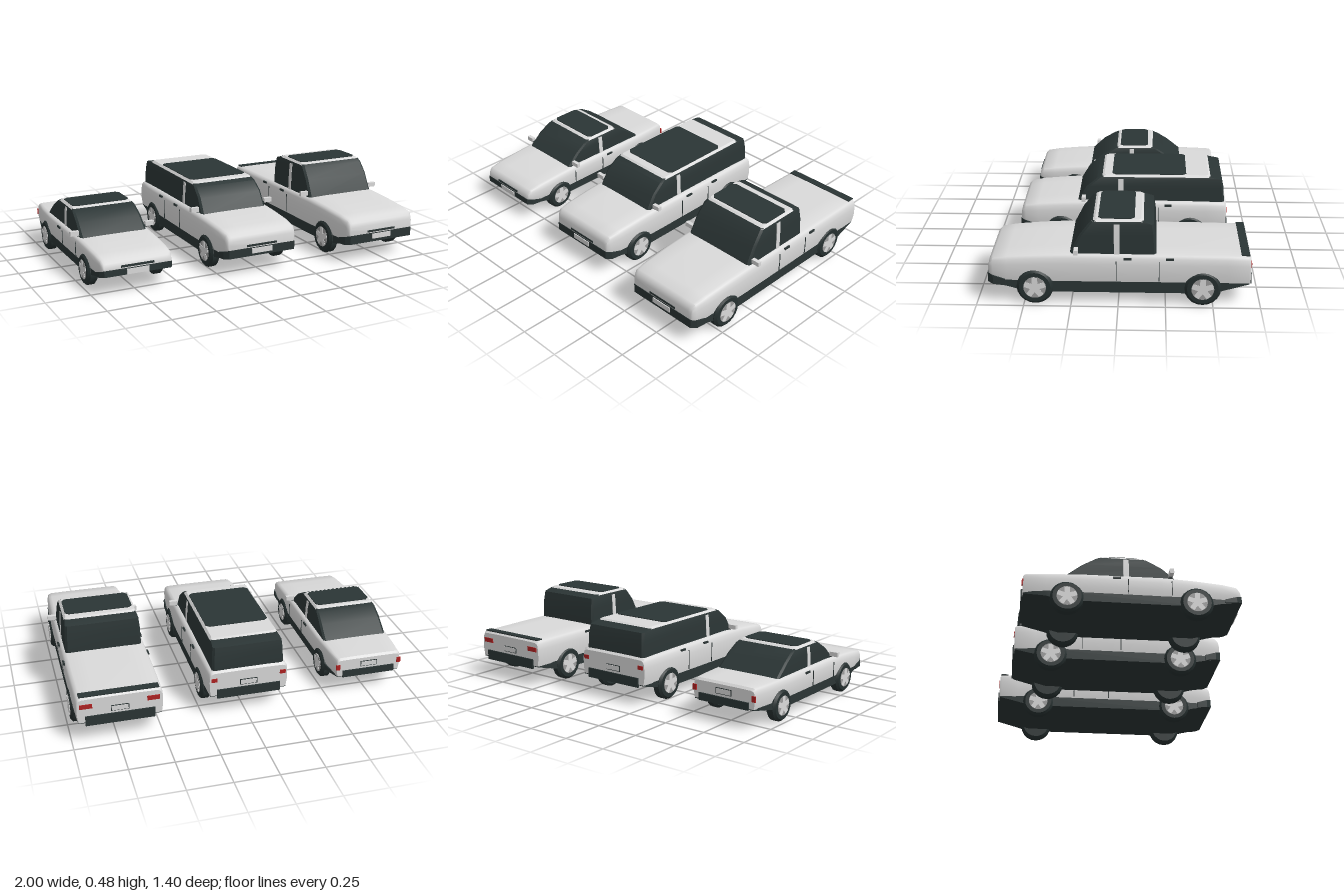
import * as THREE from 'three';
import { toCreasedNormals } from 'three/addons/utils/BufferGeometryUtils.js';

const mat = (name, color) => {
  const m = new THREE.MeshStandardMaterial({ color });
  m.name = name;
  return m;
};

// Skin a stack of rings (counter-clockwise about the stacking direction) and cap both ends
function loft(rings, crease = 0.6) {
  const p = [], n = rings[0].length;
  const tri = (a, b, c) => p.push(...a, ...b, ...c);
  for (let r = 0; r + 1 < rings.length; r++) {
    const a = rings[r], b = rings[r + 1];
    for (let i = 0; i < n; i++) {
      const j = (i + 1) % n;
      tri(a[i], a[j], b[j]);
      tri(a[i], b[j], b[i]);
    }
  }
  const s = rings[0], e = rings[rings.length - 1];
  for (let i = 1; i + 1 < n; i++) {
    tri(s[0], s[i + 1], s[i]);
    tri(e[0], e[i], e[i + 1]);
  }
  const g = new THREE.BufferGeometry();
  g.setAttribute('position', new THREE.Float32BufferAttribute(p, 3));
  return toCreasedNormals(g, crease);
}

// Upright sections at z: rounded for the body, square for the trim
function bodyRing([z, w, y0, y1]) {
  const half = [[0.97, 0], [1, 0.3], [1, 0.65], [0.985, 0.85], [0.95, 0.95], [0.88, 0.99], [0.5, 1]];
  const right = half.map(([kx, ky]) => [w * kx, y0 + (y1 - y0) * ky, z]);
  return [...right, ...right.map(([x, y]) => [-x, y, z]).reverse()];
}
const boxRing = ([z, w, y0, y1]) => [[w, y0, z], [w, y1, z], [-w, y1, z], [-w, y0, z]];

// Level cabin ring with small chamfered corners
function cabinRing([y, w, zr, zf, c = 0.012]) {
  const right = [[w - c, y, zf], [w, y, zf - c], [w, y, zr + c], [w - c, y, zr]];
  return [...right, ...right.map(([x, , z]) => [-x, y, z]).reverse()];
}

// Sizes that differ; back and front give the cabin ends from waist to roof
const COUPE = {
  name: 'coupe', x: -0.755, w: 0.22, zf: 0.57, zr: -0.58, top: 0.235, tailTaper: 0.9, wheels: [0.33, -0.35],
  cabinW: 0.195, roofY: 0.352, back: [-0.365, -0.273, -0.205, -0.18], front: [0.235, 0.155, 0.085, 0.06],
  panel: [-0.145, 0.035], pillar: -0.04, seams: [-0.03, 0.2], handles: [-0.09], lamp: [0.188, 0.024, 0.032],
};
const WAGON = {
  name: 'wagon', x: -0.017, w: 0.238, zf: 0.6, zr: -0.612, top: 0.285, tailTaper: 0.97, wheels: [0.36, -0.4],
  cabinW: 0.208, roofY: 0.427, back: [-0.6, -0.595, -0.585, -0.52], front: [0.265, 0.212, 0.15, 0.122],
  panel: [-0.375, 0.06], pillar: 0.01, seams: [0.01, -0.215], handles: [-0.05, -0.27], lamp: [0.2, 0.034, 0.022],
};
const PICKUP = {
  name: 'pickup', x: 0.73, w: 0.243, zf: 0.687, zr: -0.695, top: 0.288, tailTaper: 0.985, wheels: [0.44, -0.445],
  cabinW: 0.22, roofY: 0.464, back: [-0.2, -0.195, -0.185, -0.135], front: [0.258, 0.203, 0.155, 0.135],
  panel: [-0.085, 0.105], pillar: 0.008, seams: [0.01, -0.215], handles: [-0.05, -0.27], lamp: [0.185, 0.07, 0.026],
  bedStrip: true,
};

export function createModel() {
  const paint = mat('light paint', 0xdadada);
  const dark = mat('dark glass and trim', 0x2b3535);
  const tyre = mat('dark rubber', 0x263030);
  const rim = mat('rim grey', 0x9c9c9c);
  const red = mat('red lamp', 0xb02222);

  const add = (parent, name, geo, material, x = 0, y = 0, z = 0) => {
    const m = new THREE.Mesh(geo, material);
    m.name = name;
    m.position.set(x, y, z);
    parent.add(m);
  };
  const box = (parent, name, w, h, d, material, x, y, z) =>
    add(parent, name, new THREE.BoxGeometry(w, h, d), material, x, y, z);

  // Wheel with its outer face toward +x
  function makeWheel(r) {
    const g = new THREE.Group();
    g.name = 'wheel';
    const profile = [[0, -0.03], [0.85, -0.03], [1, -0.018], [1, 0.018], [0.86, 0.03], [0.62, 0.03], [0, 0.028]]
      .map(([k, y]) => new THREE.Vector2(k * r, y));
    const t = new THREE.LatheGeometry(profile, 20);
    t.rotateZ(-Math.PI / 2);
    add(g, 'tyre', toCreasedNormals(t, 0.5), tyre);
    const d = new THREE.CylinderGeometry(r * 0.62, r * 0.62, 0.004, 20);
    d.rotateZ(-Math.PI / 2);
    add(g, 'rim', d, rim, 0.03);
    const points = [];
    for (let i = 0; i < 5; i++) {
      for (const [da, k] of [[-0.25, 0.61], [0.25, 0.61], [Math.PI / 5, 0.27]]) {
        const a = i * Math.PI * 0.4 + da + Math.PI / 2;
        points.push(new THREE.Vector2(Math.cos(a) * r * k, Math.sin(a) * r * k));
      }
    }
    const s = new THREE.ExtrudeGeometry(new THREE.Shape(points), { depth: 0.003, bevelEnabled: false });
    s.rotateY(Math.PI / 2);
    add(g, 'spokes', s, paint, 0.031);
    return g;
  }

  function makeCar(c) {
    const car = new THREE.Group();
    car.name = c.name;
    car.position.x = c.x;
    const { w, zf, zr, top } = c;
    const tw = w * c.tailTaper, tail = top - 0.007, nose = top - 0.042;
    const sill = w * 0.52, bumperTop = w * 0.7, r = w * 0.4;

    // Painted lower body, rear to front
    const body = [
      [zr, tw * 0.98, sill, tail - 0.012], [zr + 0.012, tw, sill, tail], [zr + 0.12, (w + tw) / 2, sill, tail + 0.002],
      [zr + 0.3, w, sill, top - 0.003], [zf - 0.42, w, sill, top], [zf - 0.25, w * 0.985, sill, top - 0.008],
      [zf - 0.1, w * 0.965, sill, nose + 0.022], [zf - 0.025, w * 0.935, sill + 0.01, nose + 0.01],
      [zf - 0.006, w * 0.9, sill + 0.02, nose - 0.01], [zf, w * 0.87, sill + 0.025, nose - 0.035],
    ];
    add(car, 'body', loft(body.map(bodyRing), 0.75), paint);

    // Dark underbody rising toward both ends, and the bumpers
    const under = [
      [zr + 0.004, tw * 0.955, sill - 0.006], [zr + 0.12, w * 0.965, 0.09], [zr + 0.2, w * 0.98, 0.068],
      [zf - 0.2, w * 0.97, 0.068], [zf - 0.12, w * 0.95, 0.09], [zf - 0.04, w * 0.92, 0.106],
    ];
    add(car, 'underbody', loft(under.map((u) => boxRing([...u, sill + 0.004])), 0.3), dark);
    const bumper = [
      [zf - 0.09, w * 0.965, 0.1, bumperTop - 0.035], [zf - 0.025, w * 0.955, 0.106, bumperTop - 0.015],
      [zf + 0.004, w * 0.87, 0.112, bumperTop - 0.005],
    ];
    add(car, 'frontBumper', loft(bumper.map(boxRing), 0.3), dark);
    box(car, 'rearBumper', tw * 1.6, bumperTop - 0.112, 0.012, dark, 0, (bumperTop + 0.102) / 2, zr - 0.002);

    // Grille and number plates
    box(car, 'frontPlate', 0.128, 0.03, 0.006, paint, 0, bumperTop - 0.025, zf + 0.006);
    box(car, 'grille', 0.19, 0.012, 0.006, dark, 0, bumperTop + 0.006, zf);
    box(car, 'rearPlateFrame', 0.1, 0.034, 0.004, dark, 0, bumperTop + 0.025, zr - 0.001);
    box(car, 'rearPlate', 0.092, 0.027, 0.006, paint, 0, bumperTop + 0.025, zr - 0.002);

    // Glasshouse leaning in toward the roof
    const base = top - 0.01, lean = [0, 0.003, 0.008, 0.015];
    const cabin = [0, 0.58, 0.91, 1].map((k, i) =>
      [base + (c.roofY - base) * k, c.cabinW - lean[i], c.back[i], c.front[i]]);
    add(car, 'glasshouse', loft(cabin.map(cabinRing), 0.45), dark);

    // Painted roof, dark roof panel and door pillars
    const [ry, rw, rz0, rz1] = cabin[3];
    const roof = [[ry - 0.004, rw + 0.004, rz0 - 0.003, rz1 + 0.003], [ry + 0.008, rw - 0.008, rz0 + 0.015, rz1 - 0.015]];
    add(car, 'roof', loft(roof.map(cabinRing), 0.45), paint);
    const panel = [0.004, 0.012].map((dy) => cabinRing([ry + dy, rw - 0.01, ...c.panel, 0.02]));
    add(car, 'roofPanel', loft(panel), dark);
    const pillars = cabin.slice(0, 3).map(([y, cw]) => cabinRing([y, cw + 0.003, c.pillar - 0.015, c.pillar + 0.015, 0.002]));
    add(car, 'doorPillars', loft(pillars, 0.3), paint);

    // Dark strip across the end of the covered bed
    if (c.bedStrip) box(car, 'bedStrip', 0.44, 0.006, 0.044, dark, 0, tail + 0.001, zr + 0.029);

    // Mirrors, lamps, door details and wheels on both sides
    const [lampX, lampW, lampH] = c.lamp;
    const mirrorZ = c.front[0] - 0.038;
    for (const s of [-1, 1]) {
      box(car, 'mirror', 0.05, 0.026, 0.022, paint, s * (w + 0.003), top + 0.02, mirrorZ);
      box(car, 'mirrorArm', 0.04, 0.012, 0.014, dark, s * (w - 0.031), top + 0.008, mirrorZ);
      box(car, 'tailLamp', lampW, lampH, 0.008, red, s * lampX, top - 0.062, zr - 0.001);
      for (const z of c.seams) box(car, 'doorSeam', 0.004, (top - sill) * 0.7, 0.004, dark, s * w, sill + (top - sill) * 0.42, z);
      for (const z of c.handles) box(car, 'doorHandle', 0.009, 0.011, 0.042, dark, s * (w - 0.001), top - 0.024, z);
      for (const z of c.wheels) {
        const wheel = makeWheel(r);
        wheel.position.set(s * (w - 0.024), r, z);
        if (s < 0) wheel.rotation.y = Math.PI;
        car.add(wheel);
      }
    }
    return car;
  }

  const model = new THREE.Group();
  model.name = 'cars';
  for (const c of [COUPE, WAGON, PICKUP]) model.add(makeCar(c));
  return model;
}
